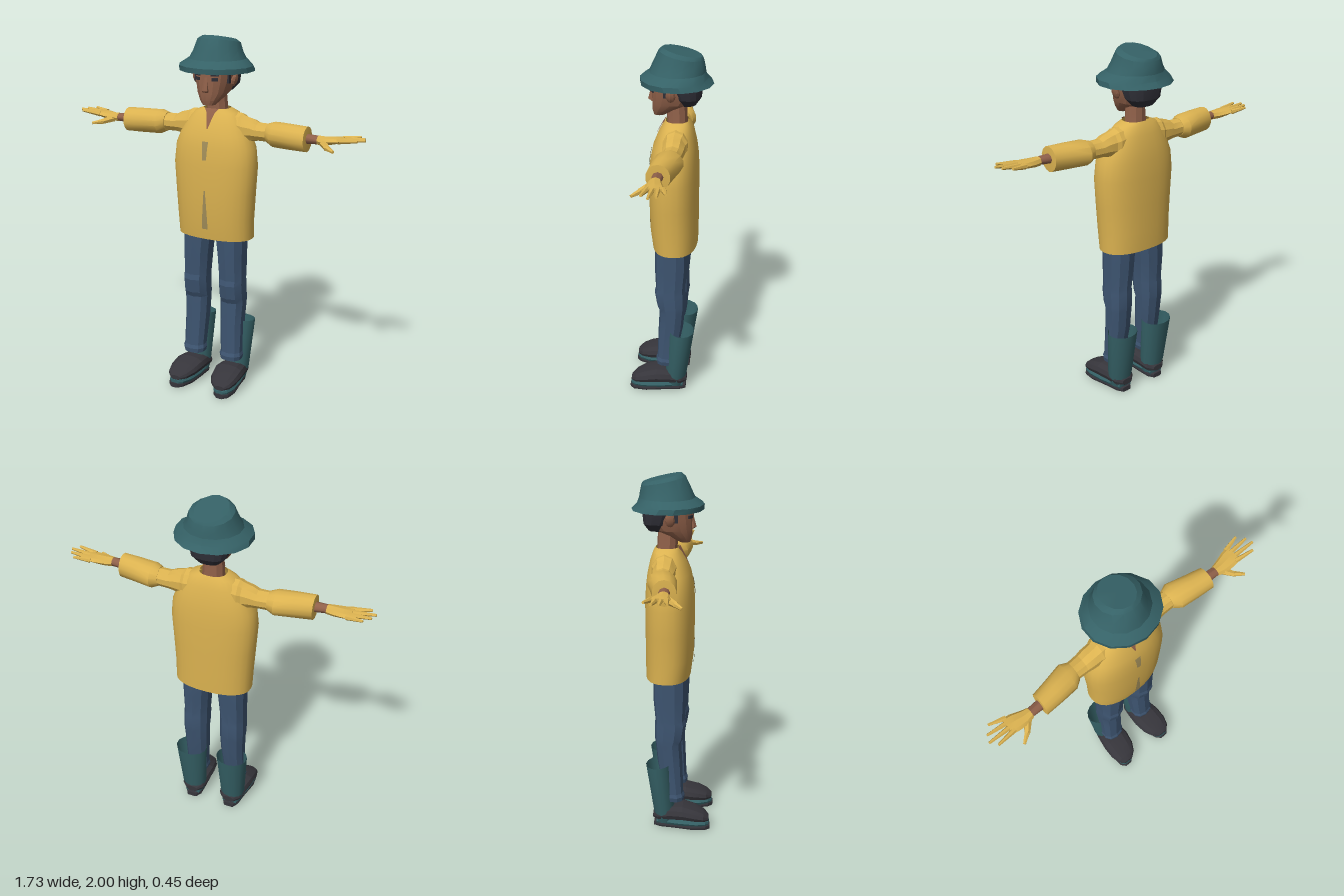
import * as THREE from 'three';
import { toCreasedNormals } from 'three/addons/utils/BufferGeometryUtils.js';

const mat = (name, color) => {
  const m = new THREE.MeshStandardMaterial({ color, side: THREE.DoubleSide });
  m.name = name;
  return m;
};

// Closed skin through cross-sections along an axis, in ascending order.
// Section: [position, centre1, centre2, radius1, radius2, tilt]; the two
// cross axes follow cyclically (y: z,x   x: y,z   z: x,y).
function loft(axis, sections, { n = 12, power = 1, caps = true } = {}) {
  const order = { x: [0, 1, 2], y: [1, 2, 0], z: [2, 0, 1] }[axis];
  const pos = [], idx = [];
  const push = (...v) => {
    const p = [0, 0, 0];
    order.forEach((k, i) => { p[k] = v[i]; });
    pos.push(...p);
  };
  const soft = (v) => Math.sign(v) * Math.abs(v) ** power;
  sections.forEach(([p, c1, c2, r1, r2, tilt = 0], j) => {
    for (let i = 0; i < n; i++) {
      const a = (i / n) * Math.PI * 2;
      const u = r1 * soft(Math.cos(a)), v = r2 * soft(Math.sin(a));
      push(p + tilt * u, c1 + u, c2 + v);
      if (j) {
        const k = (i + 1) % n, lo = (j - 1) * n, hi = j * n;
        idx.push(lo + i, lo + k, hi + k, lo + i, hi + k, hi + i);
      }
    }
  });
  if (caps) {
    const first = sections[0], last = sections[sections.length - 1];
    const c = sections.length * n, top = c - n;
    push(first[0], first[1], first[2]);
    push(last[0], last[1], last[2]);
    for (let i = 0; i < n; i++) {
      const k = (i + 1) % n;
      idx.push(c, k, i, c + 1, top + i, top + k);
    }
  }
  const g = new THREE.BufferGeometry();
  g.setAttribute('position', new THREE.Float32BufferAttribute(pos, 3));
  g.setIndex(idx);
  return g;
}

// Tapered rod between two points
function rod(a, b, ra, rb) {
  const A = new THREE.Vector3(...a), B = new THREE.Vector3(...b);
  const d = B.clone().sub(A);
  const g = new THREE.CylinderGeometry(rb, ra, d.length(), 6);
  g.applyQuaternion(new THREE.Quaternion().setFromUnitVectors(new THREE.Vector3(0, 1, 0), d.normalize()));
  return g.translate(...A.add(B).multiplyScalar(0.5).toArray());
}

// Vertical strip from rows of [y, half width, z]
function strip(rows) {
  const pos = [], idx = [];
  rows.forEach(([y, w, z], j) => {
    pos.push(-w, y, z, w, y, z);
    const k = 2 * j;
    if (j) idx.push(k - 2, k - 1, k + 1, k - 2, k + 1, k);
  });
  const g = new THREE.BufferGeometry();
  g.setAttribute('position', new THREE.Float32BufferAttribute(pos, 3));
  g.setIndex(idx);
  return g;
}

function mirrored(geo) {
  const g = geo.clone().scale(-1, 1, 1), a = g.index.array;
  for (let i = 0; i < a.length; i += 3) [a[i], a[i + 1]] = [a[i + 1], a[i]];
  return g;
}

export function createModel() {
  const model = new THREE.Group();
  const yellow = mat('yellow cloth', 0xdbb250), teal = mat('teal rubber', 0x356166);
  const denim = mat('blue denim', 0x3d5470), skin = mat('skin', 0x8f6049);
  const dark = mat('dark shoe', 0x36353b), hair = mat('hair', 0x2f2f37);
  const lining = mat('lining', 0xa08c58);

  const add = (name, geo, material, crease = 0.3) => {
    const g = geo.clone();
    g.deleteAttribute('uv');
    g.deleteAttribute('normal');
    const mesh = new THREE.Mesh(toCreasedNormals(g, crease), material);
    mesh.name = name;
    model.add(mesh);
  };
  const pair = (name, geo, material, crease) => {
    add('left ' + name, geo, material, crease);
    add('right ' + name, mirrored(geo), material, crease);
  };

  // Hat: open brim, then a crown sloping down to the back
  add('hat brim', loft('y', [
    [1.81, -0.027, 0, 0.195, 0.21], [1.838, -0.012, 0, 0.181, 0.206],
    [1.872, -0.03, 0, 0.15, 0.157],
  ], { n: 14, caps: false }), teal, 0.5);
  add('hat crown', loft('y', [
    [1.872, -0.03, 0, 0.15, 0.157], [1.91, -0.039, 0, 0.137, 0.135, 0.08],
    [1.96, -0.05, 0, 0.118, 0.118, 0.2], [1.976, -0.055, 0, 0.105, 0.088, 0.23],
  ], { n: 14 }), teal, 0.5);

  // Head, hair and neck
  add('head', loft('y', [
    [1.635, 0.065, 0, 0.03, 0.035], [1.66, 0.045, 0, 0.058, 0.056],
    [1.7, 0.005, 0, 0.1, 0.082], [1.76, -0.02, 0, 0.127, 0.098],
    [1.83, -0.025, 0, 0.128, 0.105], [1.9, -0.04, 0, 0.1, 0.09],
  ], { n: 16, power: 0.85 }), skin);
  add('hair', loft('y', [
    [1.695, -0.085, 0, 0.045, 0.06], [1.735, -0.085, 0, 0.073, 0.098],
    [1.8, -0.07, 0, 0.095, 0.113], [1.87, -0.06, 0, 0.1, 0.11],
  ], { n: 14, power: 0.8 }), hair);
  add('neck', loft('y', [
    [1.53, -0.03, 0, 0.06, 0.07], [1.6, -0.03, 0, 0.055, 0.06], [1.7, -0.025, 0, 0.055, 0.053],
  ], { n: 10 }), skin);
  add('nose', loft('y', [
    [1.705, 0.1, 0, 0.012, 0.018], [1.715, 0.103, 0, 0.024, 0.019],
    [1.785, 0.1, 0, 0.008, 0.009],
  ], { n: 6 }), skin);
  pair('ear', new THREE.SphereGeometry(1, 8, 6).scale(0.016, 0.037, 0.026)
    .rotateZ(-0.3).translate(0.115, 1.765, -0.005), skin);
  pair('sideburn', new THREE.BoxGeometry(0.012, 0.07, 0.02).translate(0.098, 1.785, 0.025), hair);
  const facePlate = (w, h, y) => new THREE.BoxGeometry(w, h, 0.008).rotateY(0.5).translate(0.052, y, 0.098);
  pair('eye', facePlate(0.036, 0.016, 1.776), hair);
  pair('eyebrow', facePlate(0.046, 0.009, 1.798), hair);

  // Long jacket, open at hem and collar
  add('jacket', loft('y', [
    [0.887, -0.0225, 0, 0.1225, 0.22], [1.0, -0.016, 0, 0.131, 0.223],
    [1.15, -0.014, 0, 0.133, 0.233], [1.3, -0.014, 0, 0.134, 0.243],
    [1.4, -0.0155, 0, 0.1275, 0.233], [1.47, -0.0185, 0, 0.1165, 0.205],
    [1.54, -0.025, 0, 0.095, 0.165], [1.585, -0.03, 0, 0.075, 0.125],
    [1.606, -0.03, 0, 0.062, 0.075],
  ], { n: 28, power: 0.85, caps: false }), yellow, 0.6);
  add('open neckline', strip([
    [1.505, 0.003, 0.09], [1.54, 0.012, 0.075], [1.585, 0.024, 0.05], [1.608, 0.042, 0.034],
  ]), skin);
  add('upper jacket gap', strip([[1.34, 0.012, 0.124], [1.4, 0.015, 0.118], [1.44, 0.018, 0.11]]), lining);
  add('lower jacket gap', strip([[0.95, 0.017, 0.116], [1.0, 0.016, 0.12], [1.17, 0.004, 0.123]]), lining);

  // Sleeves with wide cuffs
  pair('upper sleeve', loft('x', [
    [0.08, 1.515, -0.035, 0.075, 0.065], [0.15, 1.503, -0.033, 0.083, 0.07],
    [0.17, 1.5, -0.03, 0.074, 0.062], [0.22, 1.5, -0.03, 0.06, 0.06],
    [0.25, 1.495, -0.03, 0.05, 0.055], [0.31, 1.495, -0.028, 0.05, 0.052],
    [0.35, 1.49, -0.022, 0.06, 0.07],
  ], { n: 10 }), yellow);
  pair('wide cuff', loft('x', [
    [0.31, 1.495, -0.026, 0.052, 0.055], [0.35, 1.492, -0.022, 0.068, 0.078],
    [0.45, 1.492, -0.006, 0.069, 0.07], [0.547, 1.492, 0.007, 0.068, 0.062],
    [0.549, 1.492, 0.008, 0.045, 0.042],
  ], { n: 14 }), yellow, 0.6);
  pair('wrist', loft('x', [
    [0.5, 1.495, 0.006, 0.03, 0.032], [0.625, 1.497, 0.01, 0.022, 0.026],
  ], { n: 8 }), skin, 0.9);

  // Gloves: palm, four spread fingers and a thumb
  pair('palm', loft('x', [
    [0.61, 1.496, 0.01, 0.025, 0.03], [0.65, 1.496, 0.01, 0.024, 0.041],
    [0.7, 1.503, 0.003, 0.02, 0.05], [0.745, 1.509, -0.002, 0.013, 0.051],
  ], { n: 8 }), yellow);
  const fingers = [[-0.042, 0.815, -0.065], [-0.017, 0.85, -0.025], [0.009, 0.865, 0.013], [0.034, 0.835, 0.05]];
  fingers.forEach(([z, tx, tz], i) =>
    pair('finger ' + (i + 1), rod([0.725, 1.507, z], [tx, 1.52, tz], 0.015, 0.007), yellow));
  pair('thumb', rod([0.64, 1.49, 0.025], [0.685, 1.474, 0.078], 0.022, 0.015), yellow);
  pair('thumb tip', rod([0.683, 1.475, 0.075], [0.73, 1.468, 0.112], 0.015, 0.008), yellow);

  // Trousers
  add('trouser seat', loft('y', [
    [0.9, -0.01, 0, 0.09, 0.185], [1.02, -0.01, 0, 0.1, 0.18],
  ], { n: 12 }), denim);
  pair('trouser leg', loft('y', [
    [0.165, 0.02, 0.118, 0.055, 0.062], [0.19, 0.018, 0.118, 0.06, 0.068],
    [0.21, 0.015, 0.118, 0.055, 0.063], [0.4, -0.007, 0.112, 0.07, 0.068],
    [0.51, -0.015, 0.113, 0.072, 0.073], [0.54, -0.01, 0.113, 0.082, 0.074],
    [0.62, -0.003, 0.112, 0.088, 0.074], [0.65, -0.005, 0.111, 0.083, 0.073],
    [0.78, -0.008, 0.107, 0.092, 0.079], [0.93, -0.008, 0.098, 0.092, 0.088],
  ], { n: 10, power: 0.85 }), denim, 0.2);

  // Boot shafts rising behind the trousers, with open tops
  pair('boot shaft', loft('y', [
    [0.03, -0.035, 0.122, 0.05, 0.058], [0.1, -0.038, 0.124, 0.062, 0.073],
    [0.385, -0.068, 0.127, 0.073, 0.092, 0.1],
  ], { n: 14, caps: false }), teal, 0.6);

  // Feet: dark upper, teal toe beneath and a dark sole
  pair('shoe upper', loft('z', [
    [-0.1, 0.12, 0.065, 0.035, 0.018], [-0.07, 0.12, 0.073, 0.066, 0.034],
    [0.0, 0.123, 0.09, 0.08, 0.046], [0.07, 0.127, 0.094, 0.088, 0.046],
    [0.14, 0.133, 0.083, 0.082, 0.038], [0.19, 0.139, 0.07, 0.062, 0.027],
    [0.217, 0.143, 0.06, 0.03, 0.014],
  ], { n: 12, power: 0.85 }), dark);
  pair('boot toe', loft('z', [
    [-0.08, 0.12, 0.035, 0.045, 0.018], [0.05, 0.128, 0.038, 0.066, 0.02],
    [0.15, 0.137, 0.037, 0.064, 0.02], [0.2, 0.143, 0.036, 0.045, 0.018],
    [0.219, 0.145, 0.034, 0.022, 0.014],
  ], { n: 10, power: 0.6 }), teal);
  pair('shoe sole', loft('z', [
    [-0.095, 0.12, 0.014, 0.03, 0.014], [-0.06, 0.12, 0.014, 0.05, 0.014],
    [0.02, 0.125, 0.014, 0.055, 0.014], [0.13, 0.137, 0.014, 0.063, 0.014],
    [0.2, 0.145, 0.014, 0.047, 0.014], [0.224, 0.147, 0.014, 0.022, 0.014],
  ], { n: 12, power: 0.4 }), dark);

  return model;
}
